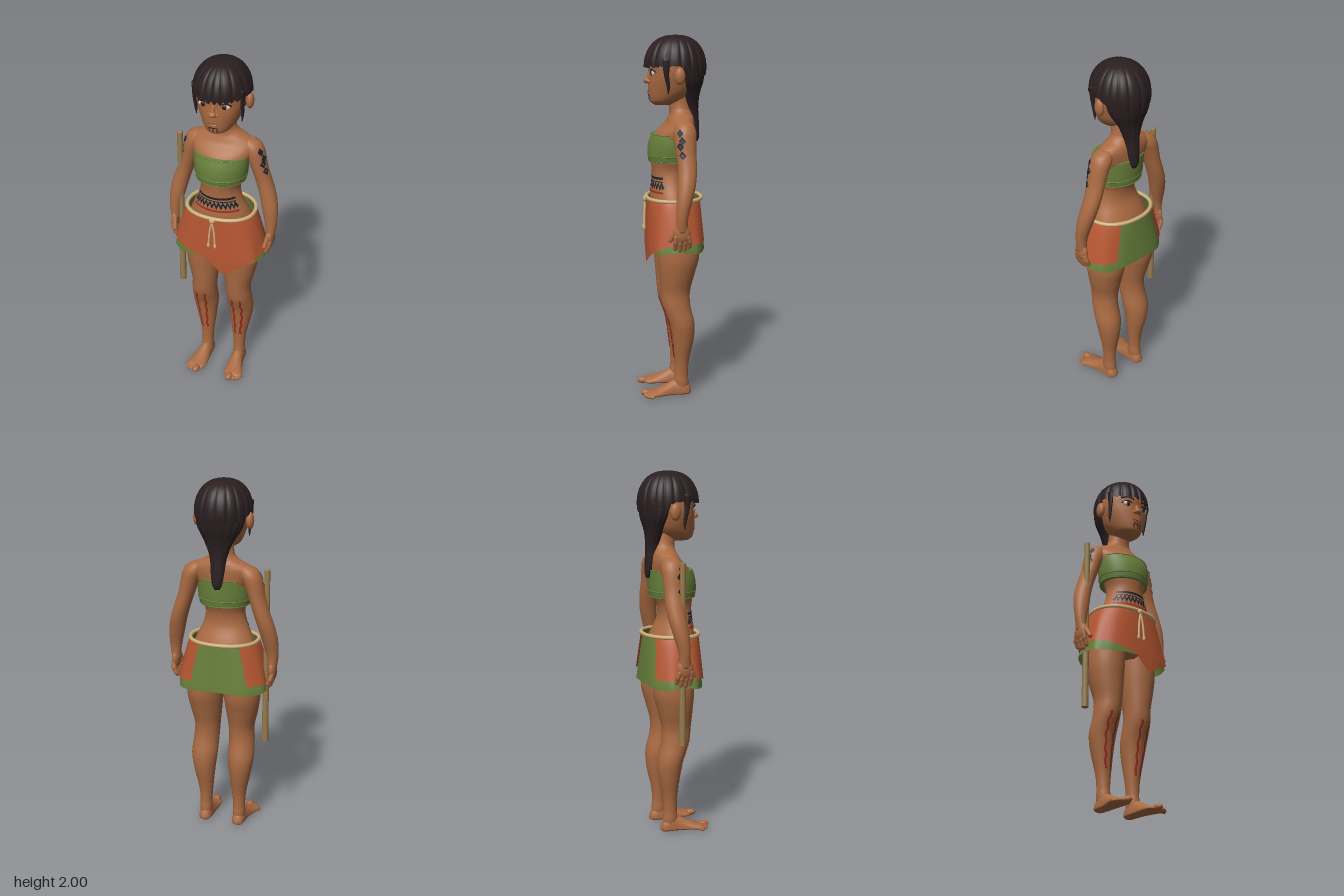
import * as THREE from 'three';

const mat = (name, color, side = THREE.FrontSide) => {
  const m = new THREE.MeshStandardMaterial({ color, side });
  m.name = name;
  return m;
};
const D = THREE.DoubleSide;
const skin = mat('skin', 0xa96a42), hair = mat('darkHair', 0x2a1e20, D), green = mat('greenCloth', 0x687f3b, D),
  orange = mat('orangeCloth', 0xb65632, D), rope = mat('paleRope', 0xd0b07c), wood = mat('wood', 0x967a4c),
  navy = mat('navyInk', 0x19242f, D), red = mat('redPaint', 0x9c2c20, D), white = mat('eyeWhite', 0xd8cfc4),
  brown = mat('warmBrown', 0x7e4730);

// Smooth interpolation of cross-sections [y, cx, cz, rx, rFront, rBack] by height
function section(keys, y) {
  let i = 0;
  while (i < keys.length - 2 && y > keys[i + 1][0]) i++;
  const slope = (k, c) => {
    const a = keys[Math.max(k - 1, 0)], b = keys[Math.min(k + 1, keys.length - 1)];
    return (b[c] - a[c]) / (b[0] - a[0]);
  };
  const a = keys[i], b = keys[i + 1], h = b[0] - a[0], t = (y - a[0]) / h, t2 = t * t, t3 = t2 * t;
  return [1, 2, 3, 4, 5].map(c => (2 * t3 - 3 * t2 + 1) * a[c] + (t3 - 2 * t2 + t) * h * slope(i, c)
    + (3 * t2 - 2 * t3) * b[c] + (t3 - t2) * h * slope(i + 1, c));
}
function surf(keys, a, y, off = 0, k = 1) {
  const [cx, cz, rx, rf, rb] = section(keys, y), c = Math.cos(a);
  return [cx + (rx + off) * k * Math.sin(a), y, cz + ((c > 0 ? rf : rb) + off) * k * c];
}
function buffer(pos, idx) {
  const g = new THREE.BufferGeometry();
  g.setAttribute('position', new THREE.Float32BufferAttribute(pos, 3));
  g.setIndex(idx);
  g.computeVertexNormals();
  return g;
}
// Closed body through the cross-sections
function loft(keys, n = 36, groove = () => 1) {
  const ys = [], pos = [], idx = [];
  keys.forEach((k, i) => {
    const next = keys[i + 1];
    for (let s = 0; s < (next ? 5 : 1); s++) ys.push(next ? k[0] + (next[0] - k[0]) * s / 5 : k[0]);
  });
  for (const y of ys) for (let i = 0; i < n; i++) {
    const a = i / n * Math.PI * 2;
    pos.push(...surf(keys, a, y, 0, groove(a)));
  }
  for (let j = 0; j < ys.length - 1; j++) for (let i = 0; i < n; i++) {
    const p = j * n + i, q = j * n + (i + 1) % n;
    idx.push(p, q, q + n, p, q + n, p + n);
  }
  const last = (ys.length - 1) * n, c = ys.length * n;
  for (const y of [ys[0], ys.at(-1)]) { const s = section(keys, y); pos.push(s[0], y, s[1]); }
  for (let i = 0; i < n; i++) {
    const q = (i + 1) % n;
    idx.push(c, q, i, c + 1, last + i, last + q);
  }
  return buffer(pos, idx);
}
// Open grid of points from a function of two 0..1 parameters
function sheet(nu, nv, fn) {
  const pos = [], idx = [];
  for (let j = 0; j <= nv; j++) for (let i = 0; i <= nu; i++) pos.push(...fn(i / nu, j / nv));
  for (let j = 0; j < nv; j++) for (let i = 0; i < nu; i++) {
    const p = j * (nu + 1) + i, q = p + nu + 1;
    idx.push(p, q, q + 1, p, q + 1, p + 1);
  }
  return buffer(pos, idx);
}
// Painted ribbon lying on a loft: path of [angle, y, width]
function paint(keys, path) {
  return sheet(path.length - 1, 1, (u, v) => {
    const i = Math.round(u * (path.length - 1)), [a, y, w] = path[i];
    const p = path[Math.max(i - 1, 0)], q = path[Math.min(i + 1, path.length - 1)], r = section(keys, y)[2];
    const du = (q[0] - p[0]) * r, dv = q[1] - p[1], k = (v - 0.5) * w / Math.hypot(du, dv);
    return surf(keys, a + dv * k / r, y - du * k, 0.003);
  });
}
const line = (n, fn) => Array.from({ length: n + 1 }, (_, i) => fn(i / n, i));

const torsoKeys = [[0.865, 0, -0.02, 0.13, 0.08, 0.09], [0.9, 0, -0.02, 0.18, 0.115, 0.115], [0.97, 0, -0.02, 0.195, 0.125, 0.125],
  [1.05, 0, -0.01, 0.185, 0.125, 0.125], [1.12, 0, 0, 0.16, 0.122, 0.11], [1.2, 0, 0.01, 0.124, 0.102, 0.085],
  [1.27, 0, 0.005, 0.11, 0.108, 0.08], [1.34, 0, 0, 0.13, 0.12, 0.1], [1.42, 0, -0.01, 0.145, 0.125, 0.105],
  [1.48, 0, -0.03, 0.17, 0.115, 0.09], [1.525, 0, -0.045, 0.175, 0.085, 0.075], [1.555, 0, -0.048, 0.14, 0.072, 0.068],
  [1.578, 0, -0.048, 0.092, 0.064, 0.062], [1.61, 0, -0.043, 0.066, 0.06, 0.06], [1.7, 0, -0.03, 0.06, 0.06, 0.06]];
const bandKeys = [[1.318, 0, 0, 0.138, 0.13, 0.118], [1.36, 0, 0, 0.147, 0.136, 0.124], [1.42, 0, 0, 0.152, 0.13, 0.128],
  [1.47, 0, -0.005, 0.151, 0.118, 0.125]];
const headKeys = [[1.625, 0, 0.05, 0.03, 0.045, 0.07], [1.64, 0, 0.04, 0.062, 0.078, 0.09], [1.66, 0, 0.025, 0.082, 0.1, 0.1],
  [1.7, 0, 0, 0.105, 0.13, 0.1], [1.75, 0, 0, 0.122, 0.13, 0.12], [1.8, 0, 0, 0.132, 0.127, 0.14],
  [1.86, 0, 0, 0.13, 0.13, 0.15], [1.92, 0, -0.01, 0.11, 0.11, 0.12], [1.96, 0, -0.01, 0.07, 0.07, 0.07]];
const tailKeys = [[1.425, 0, -0.132, 0.014, 0.008, 0.01], [1.45, 0, -0.132, 0.027, 0.016, 0.018], [1.52, 0, -0.122, 0.038, 0.025, 0.026],
  [1.6, 0, -0.108, 0.048, 0.04, 0.036], [1.68, 0, -0.1, 0.08, 0.05, 0.05], [1.76, 0, -0.08, 0.126, 0.045, 0.092],
  [1.86, 0, -0.05, 0.142, 0.05, 0.13]];
const legKeys = s => [[0.02, 0.1, -0.045, 0.028, 0.035, 0.035], [0.07, 0.1, -0.04, 0.035, 0.042, 0.042], [0.12, 0.1, -0.04, 0.034, 0.038, 0.038],
  [0.2, 0.1, -0.042, 0.041, 0.042, 0.042],
  [0.33, 0.106, -0.046, 0.062, 0.061, 0.064], [0.42, 0.108, -0.038, 0.074, 0.07, 0.074], [0.52, 0.105, -0.008, 0.072, 0.075, 0.082],
  [0.6, 0.101, -0.003, 0.073, 0.08, 0.085], [0.7, 0.106, -0.012, 0.09, 0.097, 0.1], [0.8, 0.108, -0.02, 0.102, 0.112, 0.117],
  [0.95, 0.1, -0.02, 0.1, 0.112, 0.116]].map(k => [k[0], k[1] * s, ...k.slice(2)]);
const armKeys = s => [[0.97, 0.28, -0.02, 0.024, 0.035, 0.035], [1.01, 0.282, -0.02, 0.028, 0.031, 0.031], [1.06, 0.28, -0.023, 0.035, 0.033, 0.033],
  [1.14, 0.269, -0.035, 0.044, 0.043, 0.043], [1.22, 0.251, -0.048, 0.046, 0.048, 0.05], [1.3, 0.225, -0.055, 0.045, 0.05, 0.052],
  [1.38, 0.199, -0.052, 0.046, 0.054, 0.055], [1.45, 0.179, -0.05, 0.053, 0.06, 0.06], [1.495, 0.162, -0.05, 0.058, 0.06, 0.06],
  [1.53, 0.145, -0.05, 0.053, 0.048, 0.048], [1.55, 0.125, -0.05, 0.035, 0.03, 0.03]].map(k => [k[0], k[1] * s, ...k.slice(2)]);
// Foot is lofted along its length, then laid flat
const footKeys = s => [[-0.095, 0.1, -0.018, 0.01, 0.008, 0.01], [-0.08, 0.1, -0.016, 0.03, 0.015, 0.045], [-0.04, 0.1, -0.016, 0.037, 0.016, 0.08],
  [0, 0.101, -0.016, 0.038, 0.016, 0.07], [0.05, 0.106, -0.016, 0.045, 0.016, 0.046], [0.1, 0.114, -0.015, 0.054, 0.015, 0.027],
  [0.135, 0.119, -0.014, 0.055, 0.013, 0.018], [0.155, 0.117, -0.013, 0.03, 0.008, 0.01]].map(k => [k[0], k[1] * s, ...k.slice(2)]);

// Skirt surface by angle and height, growing squarer in plan towards the hem
const squared = (v, e) => Math.sign(v) * Math.abs(v) ** e;
function skirtPoint(a, y, off) {
  const s = Math.min(Math.max((1.115 - y) / 0.22, 0), 1.2), e = 0.9 - 0.12 * s, c = squared(Math.cos(a), e);
  const fold = 0.004 * s * Math.sin(a * 9);
  return [(0.185 + 0.066 * s ** 0.8 + off + fold) * squared(Math.sin(a), e), y,
    (c > 0 ? 0.135 + 0.008 * s + off : 0.153 + 0.018 * s + off) * c];
}
function skirtPanel(a0, a1, off, bottom) {
  return sheet(96, 14, (u, v) => {
    const a = a0 + (a1 - a0) * u, b = bottom(a);
    return skirtPoint(a, 1.115 + (b - 1.115) * v, off);
  });
}
// Hem of the wrap: straight at the back, dipping to a point in front
function wrapHem(a) {
  const x = 0.25 * squared(Math.sin(a), 0.78), pts = [[-0.25, 0.9], [-0.03, 0.85], [0.05, 0.76], [0.25, 0.885]];
  if (Math.cos(a) < 0) return 0.892;
  for (let i = 0; i < 3; i++) if (x <= pts[i + 1][0] + 1e-6) {
    const [p, q] = [pts[i], pts[i + 1]];
    return p[1] + (q[1] - p[1]) * (x - p[0]) / (q[0] - p[0]);
  }
  return 0.885;
}

export function createModel() {
  const model = new THREE.Group();
  const add = (name, geo, m, x = 0, y = 0, z = 0) => {
    const o = new THREE.Mesh(geo, m);
    o.name = name;
    o.position.set(x, y, z);
    model.add(o);
    return o;
  };
  const ball = (name, m, x, y, z, rx, ry = rx, rz = rx) =>
    add(name, new THREE.SphereGeometry(1, 20, 14), m, x, y, z).scale.set(rx, ry, rz);
  const tube = (name, m, pts, r, closed = false) => add(name, new THREE.TubeGeometry(
    new THREE.CatmullRomCurve3(pts.map(p => new THREE.Vector3(...p)), closed), pts.length * 4, r, 8, closed), m);
  const capsule = (name, m, a, b, r) => {
    const p = new THREE.Vector3(...a), d = new THREE.Vector3(...b).sub(p);
    const o = add(name, new THREE.CapsuleGeometry(r, d.length(), 5, 10), m);
    o.position.copy(p).addScaledVector(d, 0.5);
    o.quaternion.setFromUnitVectors(new THREE.Vector3(0, 1, 0), d.normalize());
  };

  // Body and head
  add('torso', loft(torsoKeys, 48), skin);
  add('head', loft(headKeys, 48), skin);
  capsule('noseBridge', skin, [0, 1.8, 0.12], [0, 1.765, 0.13], 0.012);
  ball('noseTip', skin, 0, 1.757, 0.137, 0.021, 0.016, 0.019);
  ball('upperLip', brown, 0, 1.7, 0.127, 0.03, 0.005, 0.008);
  ball('lowerLip', skin, 0, 1.69, 0.126, 0.026, 0.008, 0.01);

  // Hair: ridged cap with a ragged fringe, flowing into a tail
  const groove = a => 1 - 0.045 * (1 - Math.abs(Math.sin(a * 8 + 0.6 * Math.sin(a * 3)))) ** 2;
  add('hairCap', sheet(192, 20, (u, v) => {
    const a = u * Math.PI * 2, c = Math.cos(a);
    const rag = 0.1 * Math.abs(Math.sin(a * 16)) * Math.max(c, 0.2);
    const end = Math.PI / 2 - 0.07 + rag + (c < 0 ? -0.35 * c : 0);
    const p = v * end, r = Math.sin(p) ** 0.8 * (1 + (groove(a) - 1) * Math.min(1.2, 0.5 + v));
    return [0.157 * r * Math.sin(a), 1.83 + 0.17 * Math.cos(p), -0.02 + (c > 0 ? 0.174 : 0.167) * r * c];
  }), hair);
  add('hairTail', loft(tailKeys, 96, groove), hair);

  // Bandeau with raised hems
  add('bandeau', loft(bandKeys, 48), green);
  for (const y of [1.32, 1.352, 1.468])
    tube('bandeauHem', green, line(31, (t, i) => surf(bandKeys, i / 32 * Math.PI * 2, y)), 0.003, true);

  // Skirt, wrap and rope belt
  add('underskirt', skirtPanel(-Math.PI, Math.PI, -0.004, a => 0.842 + 0.006 * Math.cos(a * 4)), green);
  add('overskirt', skirtPanel(-2.5, 2.63, 0.006, wrapHem), orange);
  tube('ropeBelt', rope, line(39, (t, i) => skirtPoint(i / 40 * Math.PI * 2, 1.117, 0.006)), 0.011, true);
  ball('beltKnot', rope, 0, 1.108, 0.15, 0.017, 0.018, 0.012);
  for (const s of [-1, 1]) {
    tube('ropeEnd', rope, [[0, 1.1, 0.152], [s * 0.012, 1.04, 0.154], [s * 0.019, 0.945, 0.157]], 0.006);
    ball('ropeEndKnot', rope, s * 0.019, 0.948, 0.157, 0.009, 0.016, 0.008);
  }

  // Painted waist bands and chin lines
  const across = (y, w) => line(24, t => [-1.05 + 2.1 * t, y, w]);
  add('waistLine', paint(torsoKeys, across(1.231, 0.013)), navy);
  add('waistLine', paint(torsoKeys, across(1.213, 0.005)), navy);
  add('waistZigzag', paint(torsoKeys, line(22, (t, i) => [-1.05 + 2.1 * t, i % 2 ? 1.204 : 1.176, 0.022])), navy);
  add('waistRedLine', paint(torsoKeys, across(1.156, 0.011)), red);
  add('chinLine', paint(headKeys, line(10, t => [-0.27 + 0.54 * t, 1.675, 0.005])), navy);
  for (const a of [-0.25, 0, 0.25])
    add('chinMark', paint(headKeys, line(6, t => [a, 1.675 - 0.026 * t, 0.005])), navy);

  for (const s of [1, -1]) {
    // Face details
    ball('eyeWhite', white, s * 0.058, 1.8, 0.108, 0.027, 0.018, 0.012);
    ball('iris', brown, s * 0.057, 1.8, 0.114, 0.016, 0.0165, 0.008);
    ball('pupil', hair, s * 0.057, 1.8, 0.118, 0.0115, 0.0125, 0.0065);
    tube('upperLashes', hair, [[s * 0.028, 1.803, 0.119], [s * 0.045, 1.817, 0.119], [s * 0.066, 1.818, 0.114], [s * 0.09, 1.803, 0.098]], 0.0045);
    tube('eyebrow', hair, [[s * 0.025, 1.835, 0.128], [s * 0.06, 1.845, 0.118], [s * 0.095, 1.835, 0.093]], 0.005);
    ball('nostril', skin, s * 0.018, 1.752, 0.128, 0.013, 0.01, 0.012);
    ball('ear', skin, s * 0.148, 1.787, -0.025, 0.021, 0.046, 0.029);
    add('sideLock', loft([[1.69, s * 0.126, 0.035, 0.002, 0.002, 0.002], [1.73, s * 0.128, 0.035, 0.008, 0.009, 0.009],
      [1.8, s * 0.131, 0.045, 0.01, 0.015, 0.014], [1.88, s * 0.132, 0.045, 0.012, 0.025, 0.025]], 12), hair);

    // Arm, hand and painted diamonds
    const arm = armKeys(s);
    add('arm', loft(arm), skin);
    ball('palm', skin, s * 0.282, 0.963, -0.02, 0.022, 0.055, 0.045);
    for (let f = 0; f < 4; f++) {
      const z = 0.012 - f * 0.021, low = [0.88, 0.87, 0.875, 0.89][f], mid = (0.945 + low) / 2;
      capsule('finger', skin, [s * 0.286, 0.945, z], [s * 0.281, mid, z * 1.2], 0.0135);
      capsule('finger', skin, [s * 0.281, mid, z * 1.2], [s * 0.268, low, z * 1.2], 0.012);
    }
    capsule('thumb', skin, [s * 0.275, 0.985, 0.01], [s * 0.264, 0.925, 0.04], 0.013);
    for (const [y, a] of [[1.49, 1.0], [1.45, 1.2], [1.42, 0.95], [1.375, 1.1]])
      add('armDiamond', paint(arm, [[a * s, y - 0.023, 0.001], [a * s, y, 0.036], [a * s, y + 0.023, 0.001]]), navy);

    // Leg, foot, toes and painted stripes
    const leg = legKeys(s);
    add('leg', loft(leg), skin);
    add('foot', loft(footKeys(s), 28).rotateX(Math.PI / 2), skin);
    [[0.104, 0.158, 0.022], [0.131, 0.156, 0.0135], [0.147, 0.15, 0.012], [0.16, 0.141, 0.011], [0.169, 0.128, 0.01]]
      .forEach(([x, z, r]) => ball('toe', skin, s * x, r * 0.85, z, r, r * 0.85, r * 1.4));
    for (const a of [-0.3, 0.36])
      add('legStripe', paint(leg, line(30, (t, i) => [s * a + 0.05 * Math.sin(i * 0.9), 0.52 - 0.3 * t, 0.012])), red);
  }

  // Staff held in the right hand
  const sx = -0.245, sz = -0.02;
  add('staffUpper', new THREE.CylinderGeometry(0.016, 0.015, 0.66, 16), wood, sx, 1.195, sz);
  add('staffLower', new THREE.CylinderGeometry(0.017, 0.019, 0.335, 16), wood, sx, 0.7025, sz);
  ball('staffTip', wood, sx, 1.522, sz, 0.016, 0.009, 0.016);
  for (const y of [1.22, 0.86]) add('staffRing', new THREE.CylinderGeometry(0.019, 0.019, 0.014, 16), wood, sx, y, sz);
  return model;
}
